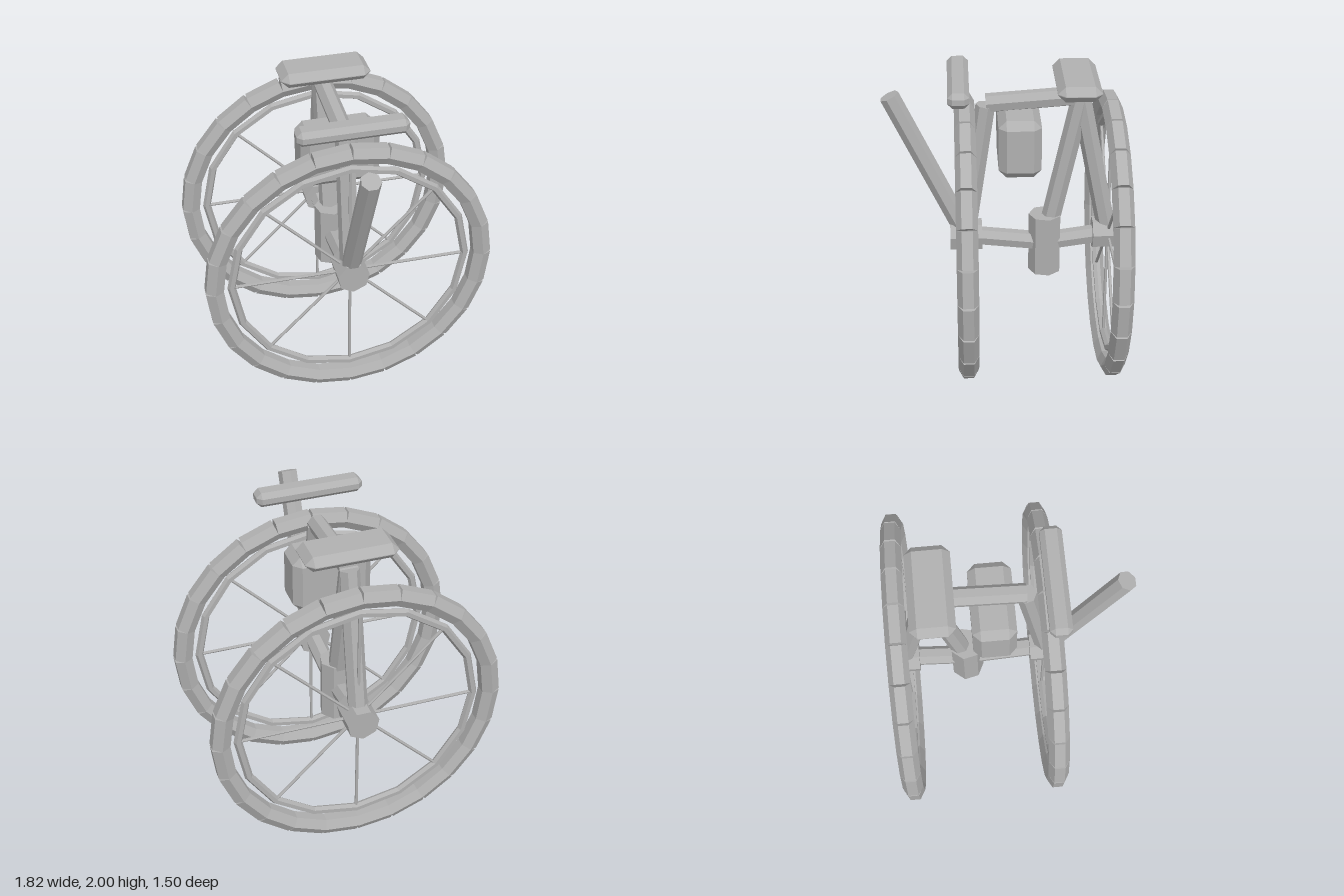
import * as THREE from 'three';
import { ConvexGeometry } from 'three/addons/geometries/ConvexGeometry.js';

export function createModel() {
  const model = new THREE.Group();
  const grey = new THREE.MeshStandardMaterial({ color: 0xb0b0b0 });
  const V = (x, y, z) => new THREE.Vector3(x, y, z);
  const UP = V(0, 1, 0);

  function add(parent, name, geometry) {
    const flat = geometry.index ? geometry.toNonIndexed() : geometry;
    flat.computeVertexNormals(); // flat facets
    const mesh = new THREE.Mesh(flat, grey);
    mesh.name = name;
    parent.add(mesh);
    return mesh;
  }

  // Straight bar between two points
  function bar(parent, name, a, b, r, sides = 7) {
    const dir = b.clone().sub(a);
    const mesh = add(parent, name, new THREE.CylinderGeometry(r, r, dir.length(), sides));
    mesh.position.copy(a).add(b).multiplyScalar(0.5);
    mesh.quaternion.setFromUnitVectors(UP, dir.normalize());
    return mesh;
  }

  // Box with every edge chamfered by c
  function chamferBox(name, w, h, d, c, x, y, z) {
    const points = [];
    for (const sx of [-1, 1]) for (const sy of [-1, 1]) for (const sz of [-1, 1]) {
      for (let axis = 0; axis < 3; axis++) {
        const inset = [c, c, c];
        inset[axis] = 0;
        points.push(V(sx * (w / 2 - inset[0]), sy * (h / 2 - inset[1]), sz * (d / 2 - inset[2])));
      }
    }
    add(model, name, new ConvexGeometry(points)).position.set(x, y, z);
  }

  // Wheel: segmented tyre, rim, spokes and hub
  function wheel(name, z) {
    const g = new THREE.Group();
    g.name = name;
    g.position.set(0, 0.91, z);
    const R = 0.855, count = 24, step = Math.PI * 2 / count;
    for (let i = 0; i < count; i++) {
      const seg = add(g, 'tyreSegment',
        new THREE.CylinderGeometry(0.0635, 0.0635, 2 * R * Math.sin(step / 2), 6));
      const a = (i + 0.5) * step, mid = R * Math.cos(step / 2);
      seg.position.set(mid * Math.cos(a), mid * Math.sin(a), 0);
      seg.rotation.z = a;
    }
    add(g, 'rim', new THREE.TorusGeometry(0.747, 0.026, 6, 16));
    for (let i = 0; i < 8; i++) {
      const a = i * Math.PI / 4;
      bar(g, 'spoke', V(0, 0, 0), V(0.74 * Math.cos(a), 0.74 * Math.sin(a), 0), 0.01, 6);
    }
    bar(g, 'hub', V(0, 0, -0.1), V(0, 0, 0.1), 0.102);
    model.add(g);
  }
  wheel('frontWheel', 0.25);
  wheel('rearWheel', -0.65);

  // Frame joints
  const frontHub = V(0, 0.91, 0.25), rearHub = V(0, 0.91, -0.65);
  const bracket = V(0, 0.853, -0.25), head = V(0, 1.8, 0.12), seatTop = V(0, 1.84, -0.46);
  const r = 0.062;
  bar(model, 'steeringColumn', V(0, 1.867, 0.7), frontHub, r);
  bar(model, 'frontFork', frontHub, head, r);
  bar(model, 'topTube', V(0, 1.85, -0.445), V(0, 1.81, 0.12), 0.06);
  bar(model, 'seatTube', bracket, seatTop, r);
  bar(model, 'seatStay', rearHub, seatTop, r);
  bar(model, 'lowerTube', bracket, frontHub, 0.06);
  bar(model, 'chainStay', rearHub, bracket, 0.06);
  bar(model, 'crankHousing', V(0, 0.655, -0.25), V(0, 1.052, -0.25), 0.104);

  // Seat, handlebar and bag
  chamferBox('seat', 0.56, 0.095, 0.265, 0.045, 0, 1.953, -0.43);
  chamferBox('handlebar', 0.67, 0.095, 0.13, 0.03, 0, 1.953, 0.286);
  chamferBox('frameBag', 0.49, 0.37, 0.26, 0.048, 0, 1.59, -0.08);

  return model;
}
